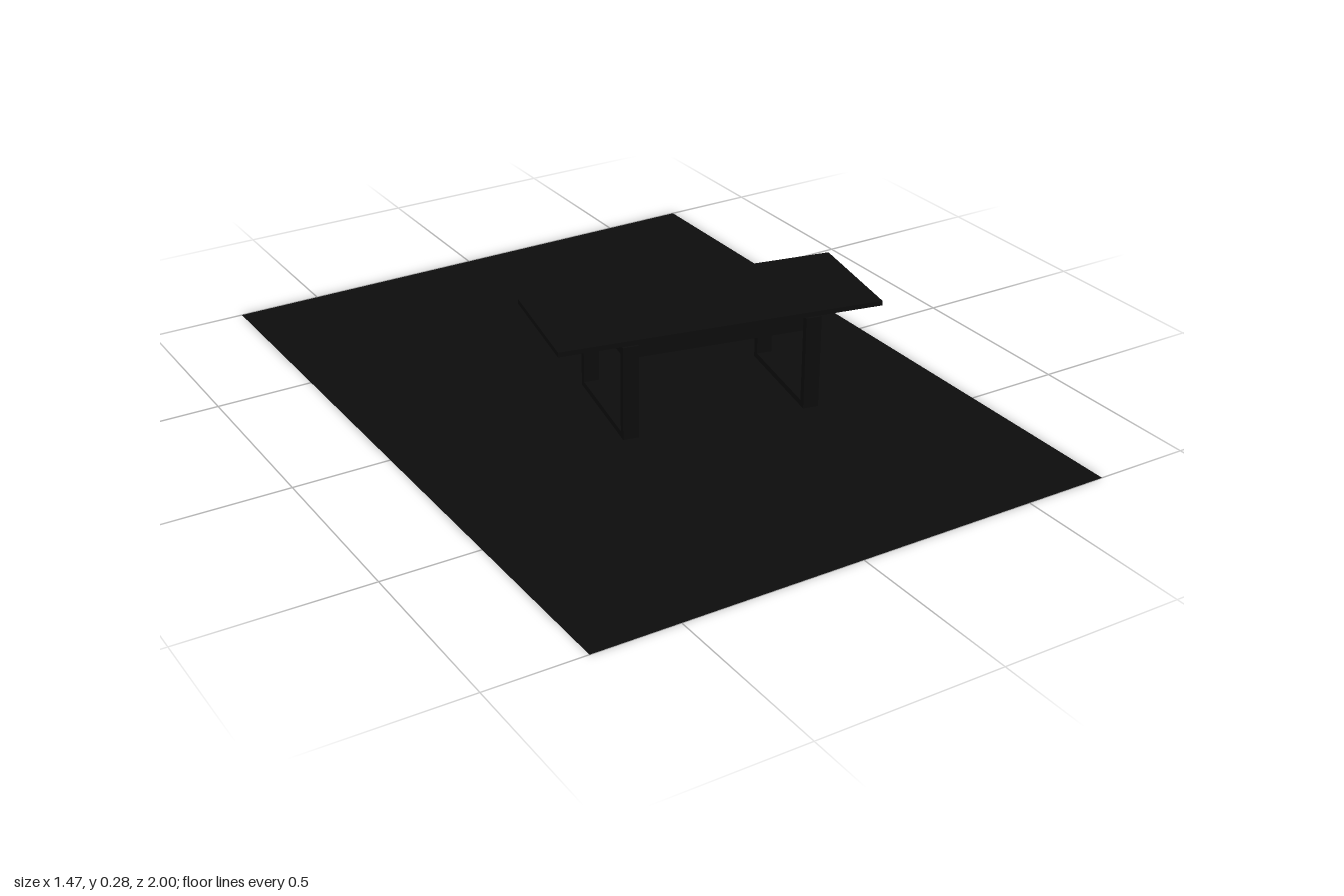
import * as THREE from 'three';

const black = new THREE.MeshStandardMaterial({ color: 0x0c0c0c, side: THREE.DoubleSide });
black.name = 'black';

function box(name, w, h, d, y) {
  const mesh = new THREE.Mesh(new THREE.BoxGeometry(w, h, d), black);
  mesh.name = name;
  mesh.position.y = y;
  return mesh;
}

// Rectangular loop leg: an upright frame with a rectangular opening
function legFrame(name, x) {
  const half = 0.166, height = 0.262, bar = 0.019, depth = 0.043;
  const shape = new THREE.Shape([
    new THREE.Vector2(-half, 0), new THREE.Vector2(half, 0),
    new THREE.Vector2(half, height), new THREE.Vector2(-half, height),
  ]);
  const inner = half - bar;
  shape.holes.push(new THREE.Path([
    new THREE.Vector2(-inner, 0.016), new THREE.Vector2(-inner, height - bar),
    new THREE.Vector2(inner, height - bar), new THREE.Vector2(inner, 0.016),
  ]));
  const geometry = new THREE.ExtrudeGeometry(shape, { depth, bevelEnabled: false });
  geometry.translate(0, 0, -depth / 2).rotateY(Math.PI / 2);
  const mesh = new THREE.Mesh(geometry, black);
  mesh.name = name;
  mesh.position.x = x;
  return mesh;
}

export function createModel() {
  const model = new THREE.Group();
  model.name = 'tableOnFloor';

  // Flat floor sheet
  const floor = new THREE.Mesh(new THREE.PlaneGeometry(1.47, 2).rotateX(-Math.PI / 2), black);
  floor.name = 'floor';
  model.add(floor);

  // Table, turned slightly and set off centre
  const table = new THREE.Group();
  table.name = 'table';
  table.add(box('tableTop', 0.891, 0.013, 0.337, 0.2735));
  table.add(box('apron', 0.522, 0.047, 0.293, 0.2435));
  table.add(legFrame('rightLegFrame', -0.252), legFrame('leftLegFrame', 0.252));
  table.position.set(0.121, 0, 0.106);
  table.rotation.y = -0.197;
  model.add(table);

  return model;
}
